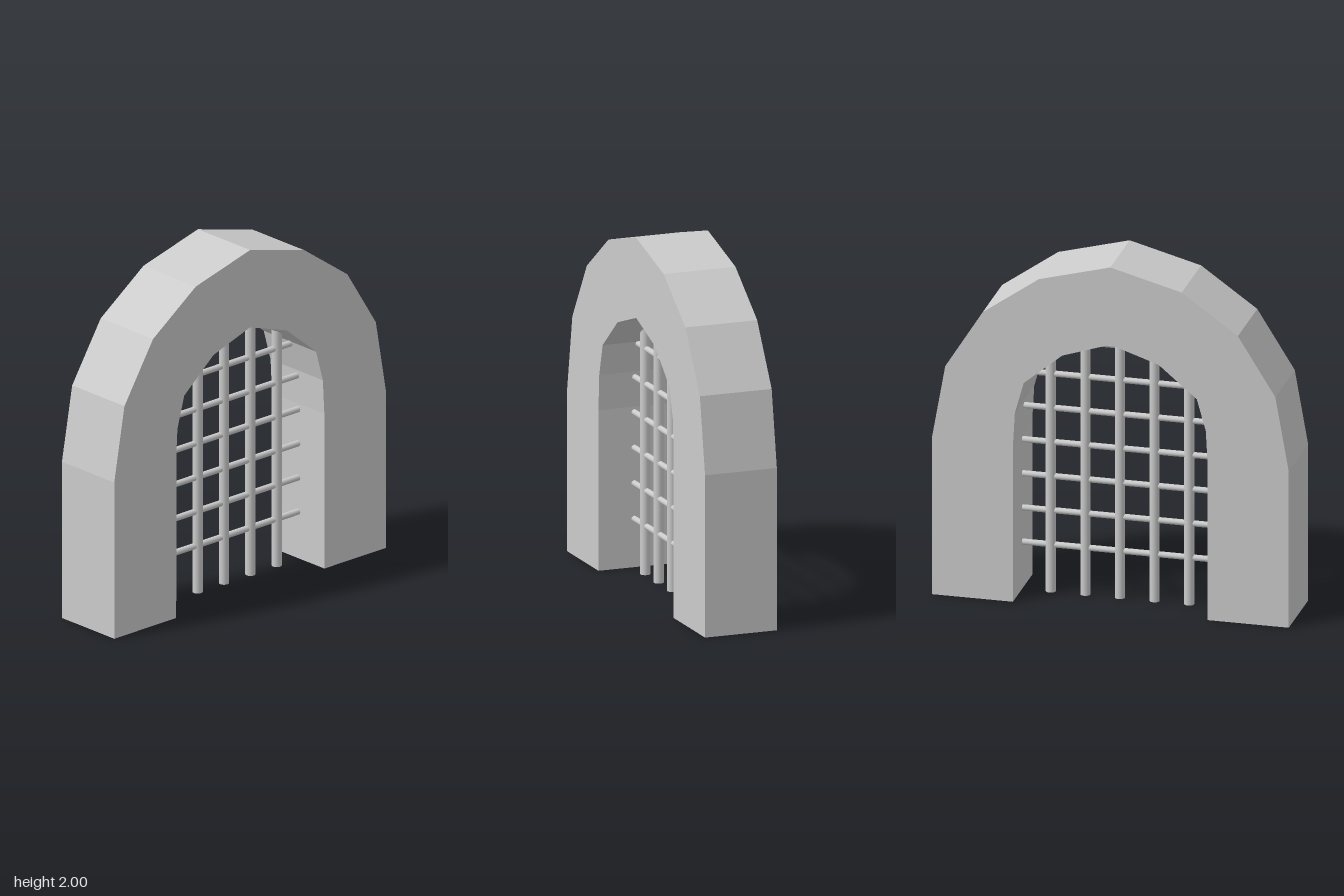
import * as THREE from 'three';

const HALF_DEPTH = 0.21;
// Right half of each outline, from the ground up to the apex
const OUTER = [[1, 0], [1, 0.91], [0.925, 1.335], [0.715, 1.67], [0.4, 1.893], [0, 2]];
const INNER = [[0.546, 0], [0.546, 0.9], [0.535, 1.1], [0.485, 1.28], [0.27, 1.46], [0, 1.55]];

// Full outline, running from the right foot over the apex to the left foot
const mirrored = (half) => [...half, ...half.slice(0, -1).reverse().map(([x, y]) => [-x, y])];

// Wall of flat panels that follows an outline through the depth of the arch
function wallStrip(points) {
  const pos = [];
  for (let i = 0; i < points.length - 1; i++) {
    const [p, q] = [points[i], points[i + 1]];
    const a = [...p, HALF_DEPTH], b = [...p, -HALF_DEPTH];
    const c = [...q, -HALF_DEPTH], d = [...q, HALF_DEPTH];
    pos.push(...a, ...b, ...c, ...a, ...c, ...d);
  }
  const geo = new THREE.BufferGeometry();
  geo.setAttribute('position', new THREE.Float32BufferAttribute(pos, 3));
  geo.computeVertexNormals();
  return geo;
}

// Interpolate the inner outline: value on axis `to` where axis `from` equals v
function openingAt(v, from, to) {
  for (let i = 1; i < INNER.length; i++) {
    const p = INNER[i - 1], q = INNER[i];
    const span = q[from] - p[from];
    const t = (v - p[from]) / span;
    if (span !== 0 && t >= 0 && t <= 1) return p[to] + t * (q[to] - p[to]);
  }
  return 0;
}

export function createModel() {
  const model = new THREE.Group();
  const stone = new THREE.MeshStandardMaterial({ color: 0xcccccc, flatShading: true, side: THREE.DoubleSide });
  const iron = new THREE.MeshStandardMaterial({ color: 0xcccccc, side: THREE.DoubleSide });
  const add = (parent, name, geo, mat) => {
    const mesh = new THREE.Mesh(geo, mat);
    mesh.name = name;
    parent.add(mesh);
    return mesh;
  };

  // Arch: hollow shell, open under both feet
  const arch = new THREE.Group();
  arch.name = 'arch';
  const outer = mirrored(OUTER), inner = mirrored(INNER).reverse();
  const outline = new THREE.Shape([...outer, ...inner].map(([x, y]) => new THREE.Vector2(x, y)));
  const face = new THREE.ShapeGeometry(outline).translate(0, 0, HALF_DEPTH);
  add(arch, 'frontFace', face, stone);
  add(arch, 'backFace', face.clone().rotateY(Math.PI), stone);
  add(arch, 'outerWall', wallStrip(outer), stone);
  add(arch, 'innerWall', wallStrip(inner), stone);
  model.add(arch);

  // Grille: bars end just inside the arch
  const grille = new THREE.Group();
  grille.name = 'grille';
  for (let i = -2; i <= 2; i++) {
    const x = i * 0.194;
    const height = openingAt(Math.abs(x), 0, 1) + 0.015;
    const bar = new THREE.CylinderGeometry(0.028, 0.028, height, 16, 1, true);
    add(grille, 'verticalBar', bar, iron).position.set(x, height / 2, 0);
  }
  for (let i = 0; i < 7; i++) {
    const y = 0.272 + i * 0.199;
    const length = 2 * (openingAt(y, 1, 0) + 0.015);
    const bar = new THREE.CylinderGeometry(0.017, 0.017, length, 12, 1, true).rotateZ(Math.PI / 2);
    add(grille, 'horizontalBar', bar, iron).position.set(0, y, 0);
  }
  model.add(grille);
  return model;
}
